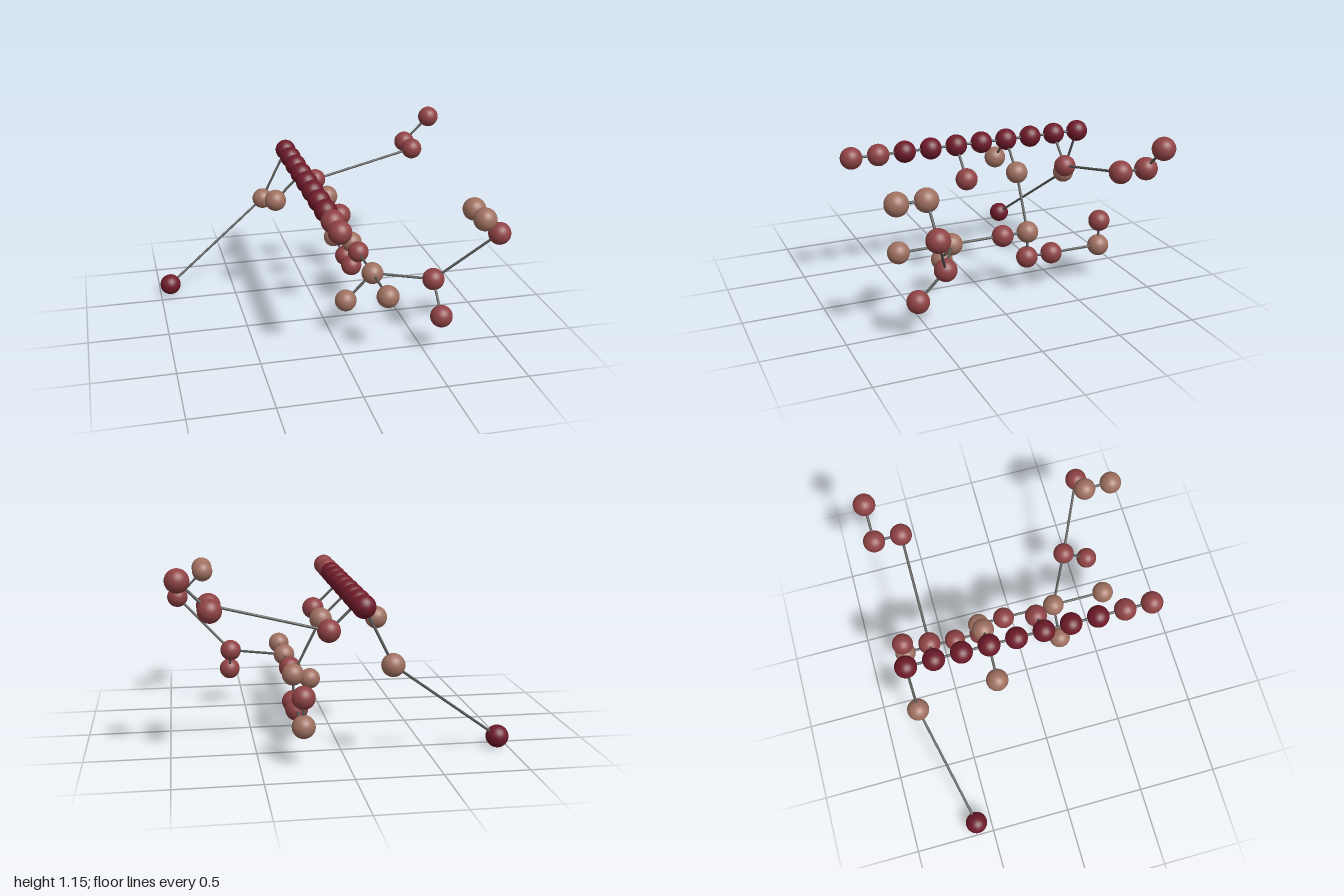
import * as THREE from 'three';

// Everything sits on a regular lattice; [i, j, k] are lattice steps along x, y, z.
const STEP = 0.1695, RADIUS = 0.068, ROD = 0.008;
const point = ([i, j, k]) =>
  new THREE.Vector3((i - 5.5) * STEP, RADIUS + j * STEP, (k - 4.5) * STEP);

export function createModel() {
  const model = new THREE.Group();
  const mat = (name, color) => Object.assign(new THREE.MeshStandardMaterial({ color }), { name });
  const mats = {
    d: mat('dark maroon', 0x6e1a29),
    r: mat('brick red', 0x8f4244),
    t: mat('dusty tan', 0x9f7060),
  };
  const rodMat = mat('rod grey', 0x5a5a58);
  const ballGeo = new THREE.SphereGeometry(RADIUS, 32, 20);
  const rodGeo = new THREE.CylinderGeometry(ROD, ROD, 1, 12);
  const up = new THREE.Vector3(0, 1, 0);

  // Balls are shared between chains, so each lattice point is made once.
  const made = new Set();
  function ball(group, [i, j, k, c]) {
    const key = `${i},${j},${k}`;
    if (made.has(key)) return;
    made.add(key);
    const mesh = new THREE.Mesh(ballGeo, mats[c]);
    mesh.name = 'ball';
    mesh.position.copy(point([i, j, k]));
    group.add(mesh);
  }
  function rod(group, a, b) {
    const p = point(a), q = point(b), dir = q.clone().sub(p);
    const mesh = new THREE.Mesh(rodGeo, rodMat);
    mesh.name = 'rod';
    mesh.position.copy(p).lerp(q, 0.5);
    mesh.scale.y = dir.length();
    mesh.quaternion.setFromUnitVectors(up, dir.normalize());
    group.add(mesh);
  }
  function chain(name, nodes) {
    const group = new THREE.Group();
    group.name = name;
    nodes.forEach((n, i) => {
      ball(group, n);
      if (i) rod(group, nodes[i - 1], n);
    });
    model.add(group);
  }

  // Straight row of ten balls along z
  const spine = Array.from({ length: 10 }, (_, k) => [5, 5, k, k < 8 ? 'd' : 'r']);
  chain('spine', spine);

  // Branches leaving the spine
  chain('longTail', [spine[0], [4, 3, 0, 't'], [0, 0, 1, 'd']]);
  chain('rightStub', [spine[3], [4, 4, 3, 't']]);
  chain('leftStub', [spine[5], [6, 4, 5, 'r']]);
  chain('upperArm', [spine[1], [6, 4, 1, 'r'], [10, 5, 1, 'r'], [10, 5, 0, 'r'], [11, 6, 0, 'r']]);

  // Lower network hanging from the spine
  const hub = [7, 2, 3, 't'], frontHub = [7, 2, 6, 't'], elbow = [9, 2, 7, 'r'];
  chain('hanger', [spine[3], [6, 4, 3, 't'], hub]);
  chain('rearHook', [hub, [7, 1, 3, 'r'], [7, 1, 2, 'r'], [7, 1, 0, 't'], [7, 2, 0, 'r']]);
  chain('lowerBeam', [hub, [7, 2, 4, 'r'], frontHub, [7, 2, 8, 't']]);
  chain('lowerStub', [frontHub, [6, 1, 6, 't']]);
  chain('frontArm', [frontHub, elbow, [11, 4, 8, 'r'], [10, 5, 8, 't'], [10, 5, 9, 't']]);
  chain('elbowStub', [elbow, [9, 1, 8, 'r']]);

  return model;
}
